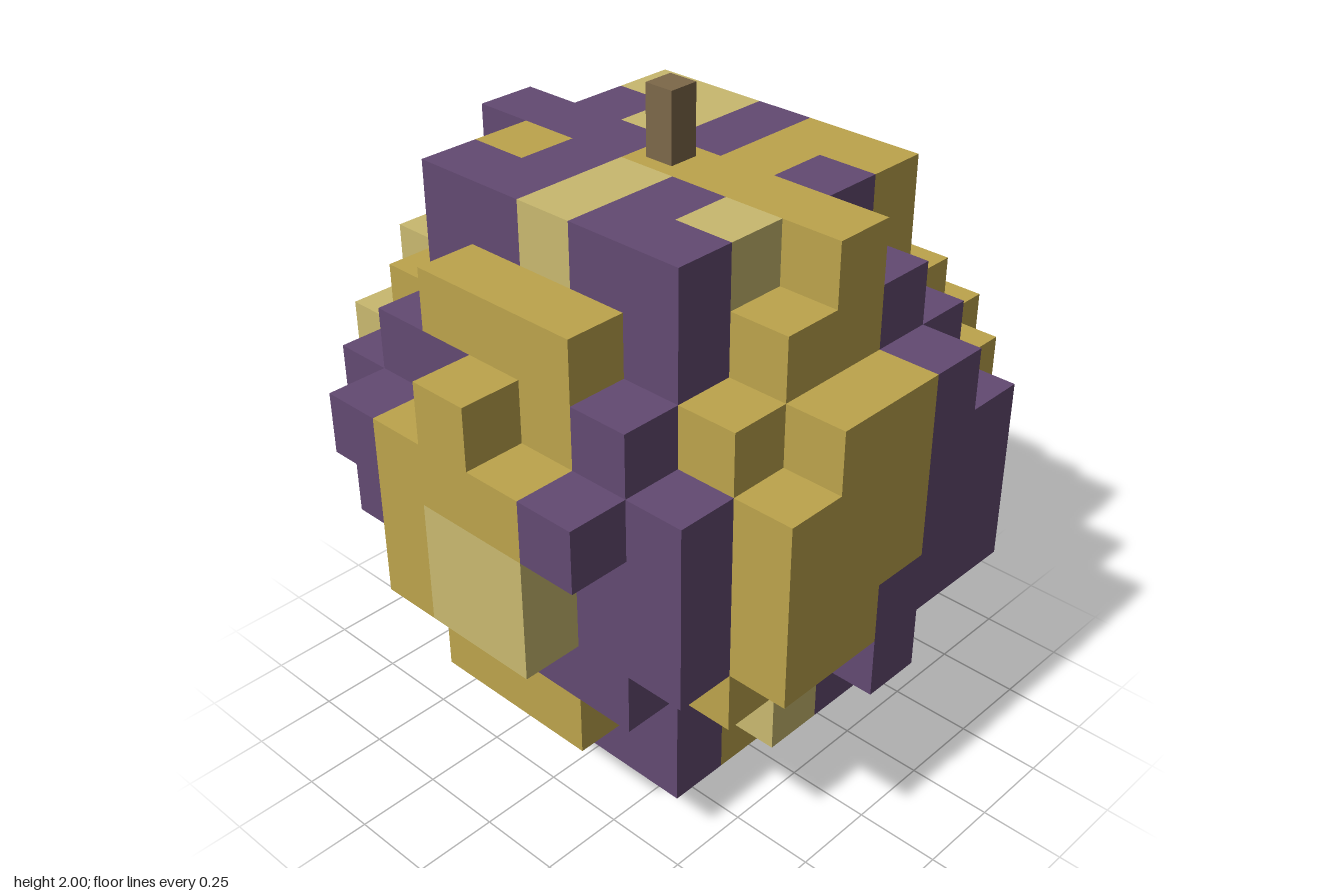
import * as THREE from 'three';
import { mergeGeometries } from 'three/addons/utils/BufferGeometryUtils.js';

const SIZE = 0.18;     // edge of one cube
const STRETCH = 0.964; // the body is slightly wider in x than in z

// squared radius of each layer, bottom to top, in cubes
const RADIUS_SQ = [2.5, 8, 11, 15.4, 19.3, 19.3, 21, 16.5, 11, 8.6];
// how far the stripes twist in each layer, in degrees
const TWIST = [-1, -0.5, 0.42, 1.3, 0.8, -0.5, -1, -1.3, -0.4, -0.5];

const filled = (x, y, z) =>
  y >= 0 && y < RADIUS_SQ.length && (x * STRETCH) ** 2 + z * z <= RADIUS_SQ[y];

// pale patches inside each of the five golden stripes
const PALE = [
  (x, y, z) => (y === 9 && z > 0) || (y === 2 && z > 0) || (y <= 1 && z === 0 && x > 0),
  (x, y) => y === 9 || ((y === 4 || y === 5) && x >= 0) || (y === 3 && x < 0),
  (x, y, z) => (y === 7 && x === -4) || y === 6 || y === 3 || (y === 4 && z === 0),
  (x, y) => y >= 3,
  (x, y, z) => y <= 5 && !(y === 3 && z === -2),
];

// ten sectors around the axis, alternating golden and purple
function colourOf(x, y, z) {
  const margin = 0.3;
  const angle = THREE.MathUtils.radToDeg(Math.atan2(z, x * STRETCH));
  const turned = (angle - TWIST[y] + margin + 720) % 360;
  if (turned % 72 >= 36 + 2 * margin) return 'purple';
  return PALE[Math.floor(turned / 72)](x, y, z) ? 'pale' : 'gold';
}

// one square for each side of a cube
function makeSides() {
  const side = (dir, rx, ry) => ({
    dir,
    geo: new THREE.PlaneGeometry(SIZE, SIZE).translate(0, 0, SIZE / 2).rotateX(rx).rotateY(ry),
  });
  const q = Math.PI / 2;
  return [
    side([0, 0, 1], 0, 0), side([1, 0, 0], 0, q),
    side([0, 0, -1], 0, 2 * q), side([-1, 0, 0], 0, -q),
    side([0, 1, 0], -q, 0), side([0, -1, 0], q, 0),
  ];
}

export function createModel() {
  const group = new THREE.Group();
  const makeMaterial = (name, color) => {
    const m = new THREE.MeshStandardMaterial({ color });
    m.name = name;
    return m;
  };
  const materials = {
    purple: makeMaterial('purple', 0x634a72),
    gold: makeMaterial('gold', 0xbda44c),
    pale: makeMaterial('paleGold', 0xc9b96f),
    stem: makeMaterial('stemBrown', 0x7d6849),
  };

  // collect the exposed sides of the cubes by colour
  const sides = makeSides();
  const parts = { purple: [], gold: [], pale: [] };
  for (let y = 0; y < RADIUS_SQ.length; y++)
    for (let x = -4; x <= 4; x++)
      for (let z = -4; z <= 4; z++) {
        if (!filled(x, y, z)) continue;
        const list = parts[colourOf(x, y, z)];
        for (const { dir, geo } of sides)
          if (!filled(x + dir[0], y + dir[1], z + dir[2]))
            list.push(geo.clone().translate(x * SIZE, (y + 0.5) * SIZE, z * SIZE));
      }

  // striped body
  const names = { purple: 'purpleStripes', gold: 'goldStripes', pale: 'palePatches' };
  for (const key of Object.keys(parts)) {
    const mesh = new THREE.Mesh(mergeGeometries(parts[key]), materials[key]);
    mesh.name = names[key];
    group.add(mesh);
  }

  // stem
  const stem = new THREE.Mesh(new THREE.BoxGeometry(0.09, 0.2, 0.09), materials.stem);
  stem.position.y = 1.9;
  stem.name = 'stem';
  group.add(stem);

  return group;
}
